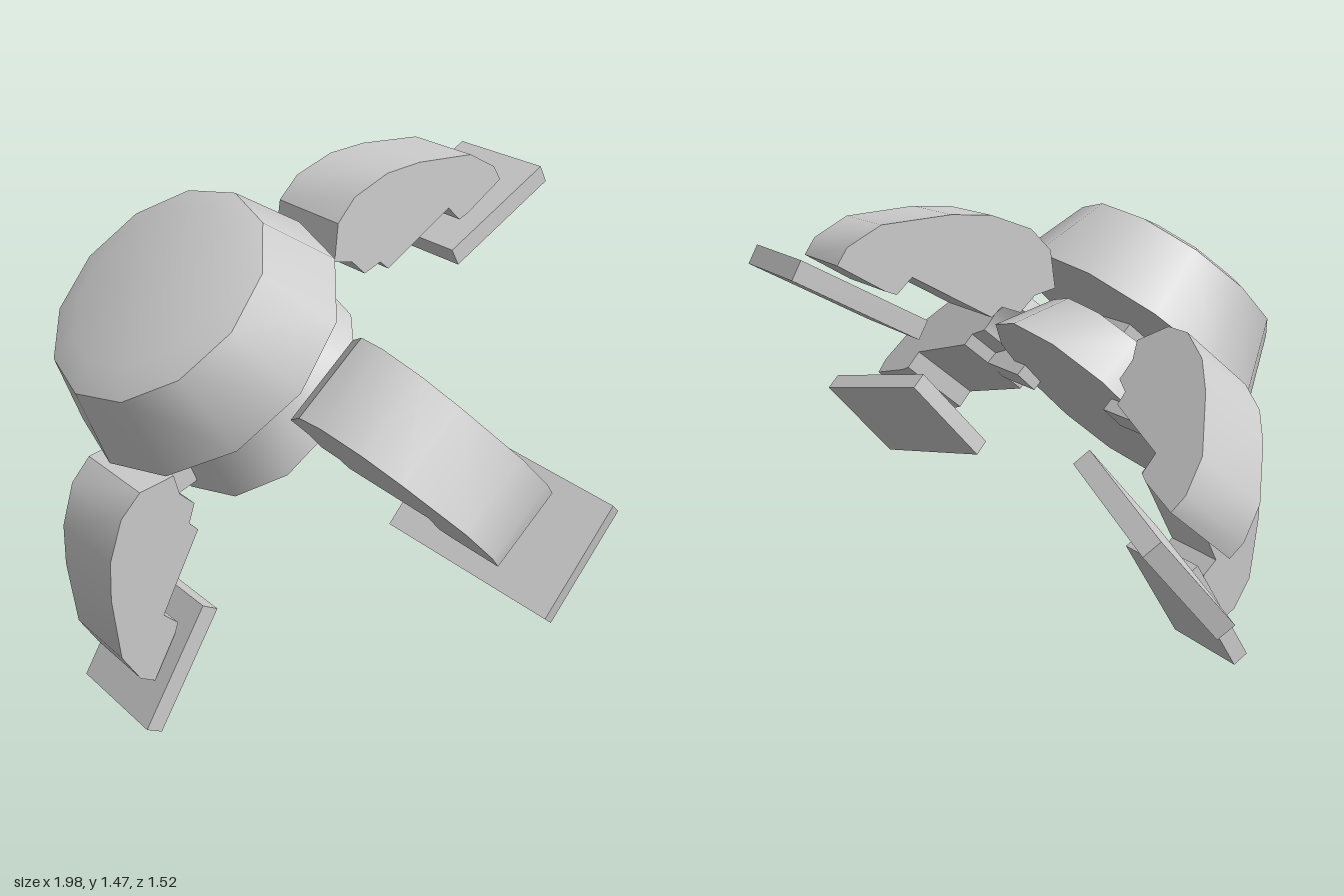
import * as THREE from 'three';
import { toCreasedNormals } from 'three/addons/utils/BufferGeometryUtils.js';

const rad = THREE.MathUtils.degToRad;
const grey = new THREE.MeshStandardMaterial({ color: 0xcccccc });
grey.name = 'light grey';

function part(name, geometry, position, rotation) {
  const mesh = new THREE.Mesh(toCreasedNormals(geometry, 0.62), grey);
  mesh.name = name;
  mesh.position.set(...position);
  // tilt the whole frame forward, then turn and slope inside it
  mesh.rotation.set(...rotation.map(rad));
  return mesh;
}

// Curved leg: side profile (outward, up), with its width tapering to the tip
function legGeometry() {
  const profile = [
    [0.36, 0.936], [0.445, 1.0], [0.53, 1.0], [0.643, 0.945], [0.731, 0.865],
    [0.858, 0.711], [0.887, 0.606], [0.875, 0.554], [0.73, 0.595], [0.70, 0.61],
    [0.70, 0.672], [0.449, 0.75], [0.447, 0.79], [0.393, 0.817], [0.393, 0.88],
  ];
  const shape = new THREE.Shape(profile.map(([r, h]) => new THREE.Vector2(r - 0.65, h - 0.77)));
  const geo = new THREE.ExtrudeGeometry(shape, { depth: 2, bevelEnabled: false });
  geo.translate(0, 0, -1);
  const p = geo.attributes.position;
  for (let i = 0; i < p.count; i++) {
    p.setZ(i, p.getZ(i) * (0.123 - 0.03 * p.getX(i)));
  }
  return geo;
}

export function createModel() {
  const model = new THREE.Group();

  // Head: wide low frustum with a shallow crown
  const headProfile = [[0, 1.046], [0.417, 1.046], [0.335, 1.278], [0.25, 1.306], [0, 1.306]]
    .map(([r, h]) => new THREE.Vector2(r, h));
  model.add(part('head', new THREE.LatheGeometry(headProfile, 12), [0, 0.276, -0.329], [40, 0, 0]));

  // Body below the head, joined by a short neck
  model.add(part('body', new THREE.CylinderGeometry(0.259, 0.34, 0.171, 12), [0, 0.957, 0.24], [47, 0, 0]));
  model.add(part('neck', new THREE.BoxGeometry(0.17, 0.16, 0.17), [0, 1.06, 0.335], [42, 0, 0]));

  // Legs with flat feet; turn is the outward direction of each leg
  const limbs = [
    { name: 'front', turn: -90, leg: [0, 0.465, 0.63], legTilt: 46, foot: [0, 0.193, 0.571], footTilt: 43.3, length: 0.388 },
    { name: 'back', turn: 90, leg: [0, 1.356, -0.316], legTilt: 46, foot: [0, 1.281, -0.584], footTilt: 43.3, length: 0.388 },
    { name: 'left', turn: 0, leg: [0.65, 0.933, 0.125], legTilt: 39.5, foot: [0.74, 0.72, -0.065], footTilt: 48.5, length: 0.5 },
    { name: 'right', turn: 180, leg: [-0.65, 0.933, 0.125], legTilt: 39.5, foot: [-0.74, 0.72, -0.065], footTilt: 48.5, length: 0.5 },
  ];
  for (const l of limbs) {
    model.add(part(l.name + 'Leg', legGeometry(), l.leg, [l.legTilt, l.turn, 0]));
    model.add(part(l.name + 'Foot', new THREE.BoxGeometry(l.length, 0.056, 0.332), l.foot, [l.footTilt, l.turn, -15.3]));
  }

  // Small pegs joining the legs to the body
  model.add(part('frontPeg', new THREE.BoxGeometry(0.08, 0.08, 0.16), [0, 0.715, 0.465], [18, 0, 0]));
  for (const s of [-1, 1]) {
    model.add(part('sidePeg', new THREE.BoxGeometry(0.2, 0.08, 0.08), [s * 0.35, 0.935, 0.15], [43, 0, 0]));
  }
  return model;
}
